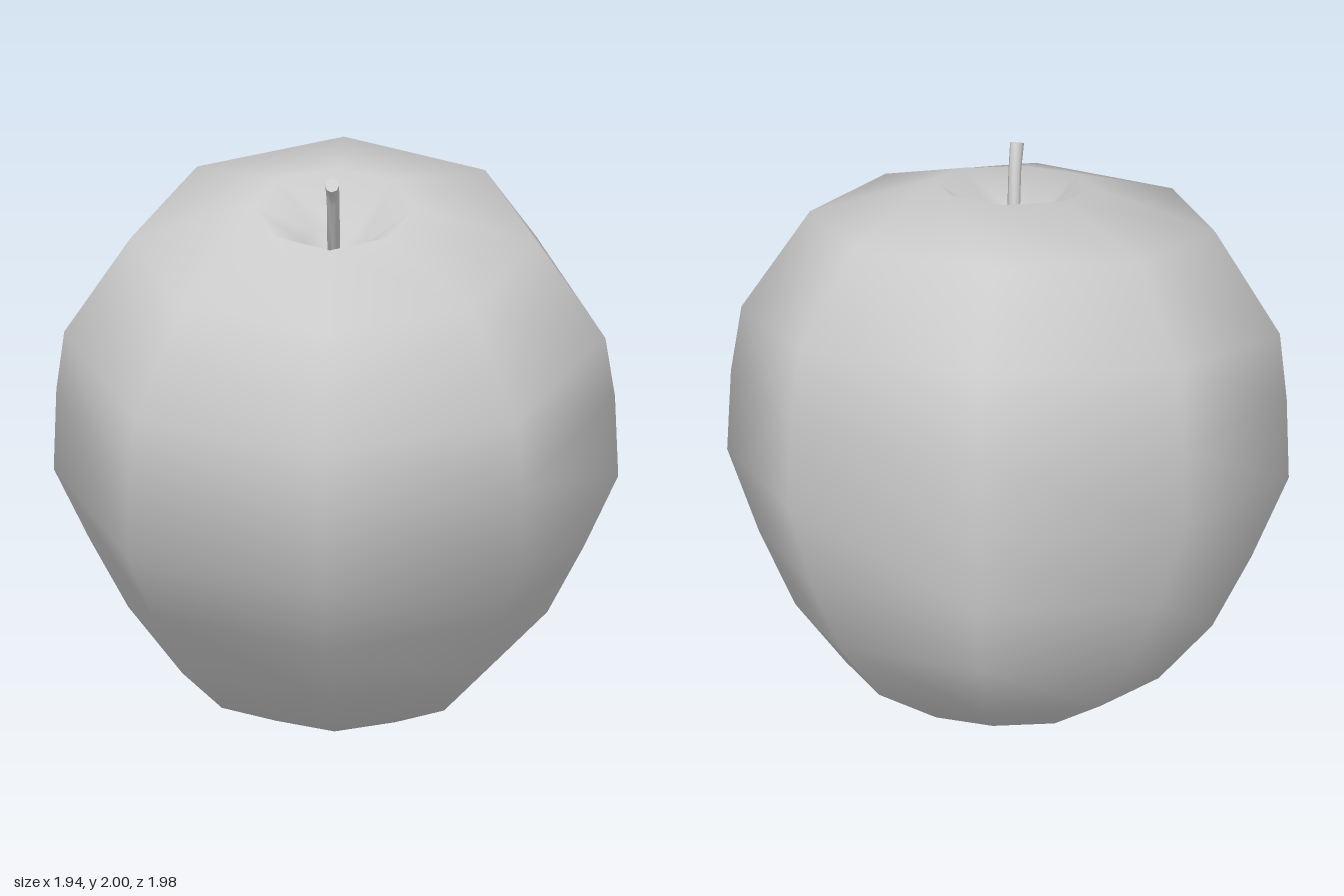
import * as THREE from 'three';
import { toCreasedNormals } from 'three/addons/utils/BufferGeometryUtils.js';

// Closed skin over tilted rings, listed from the top end to the bottom end.
// ring: [front z, front y, back z, back y, half width in x, side y]
function loft(start, rings, end, sides) {
  const pos = [0, start[1], start[0]];
  const index = [];
  for (const [zf, yf, zb, yb, w, ys] of rings) {
    const midY = (yf + yb) / 2;
    for (let j = 0; j < sides; j++) {
      const t = (j / sides) * Math.PI * 2;
      const c = Math.cos(t), s = Math.sin(t);
      pos.push(
        w * s,
        midY + ((yf - yb) / 2) * c + (ys - midY) * s * s,
        (zf + zb) / 2 + ((zf - zb) / 2) * c
      );
    }
  }
  pos.push(0, end[1], end[0]);
  const last = pos.length / 3 - 1;
  const at = (i, j) => 1 + i * sides + (j % sides);
  for (let j = 0; j < sides; j++) {
    index.push(0, at(0, j), at(0, j + 1));
    for (let i = 0; i < rings.length - 1; i++) {
      const a = at(i, j), b = at(i + 1, j), c = at(i + 1, j + 1), d = at(i, j + 1);
      index.push(a, b, c, a, c, d);
    }
    index.push(at(rings.length - 1, j), last, at(rings.length - 1, j + 1));
  }
  const geo = new THREE.BufferGeometry();
  geo.setAttribute('position', new THREE.Float32BufferAttribute(pos, 3));
  geo.setIndex(index);
  geo.computeVertexNormals();
  return geo;
}

export function createModel() {
  const group = new THREE.Group();
  group.name = 'apple';
  const material = new THREE.MeshStandardMaterial({ color: 0xcccccc });

  // Eight-sided fruit leaning forward, from the stem hollow down to the base
  const fruit = new THREE.Mesh(loft([0.12, 1.7], [
    [0.23, 1.71, 0.01, 1.77, 0.1, 1.74],   // hollow
    [0.43, 1.8, -0.14, 1.94, 0.28, 1.88],  // rim of the hollow
    [0.83, 1.61, -0.61, 1.93, 0.7, 1.75],  // shoulder
    [0.99, 1.23, -0.89, 1.68, 0.93, 1.4],
    [0.965, 0.97, -0.98, 1.37, 0.96, 1.18],
    [0.92, 0.71, -0.985, 1.08, 0.97, 0.89],
    [0.75, 0.46, -0.98, 0.79, 0.85, 0.62],
    [0.58, 0.24, -0.9, 0.53, 0.72, 0.37],
    [0.35, 0.08, -0.76, 0.3, 0.54, 0.18],
    [0.08, 0, -0.51, 0.12, 0.29, 0.05],    // base
  ], [-0.21, 0.07], 8), material);
  fruit.name = 'fruit';

  // Bent stem, flaring a little at its cut top
  const stem = new THREE.Mesh(toCreasedNormals(loft([0.247, 1.983], [
    [0.275, 1.965, 0.22, 2, 0.024, 1.983],
    [0.2, 1.9, 0.155, 1.925, 0.022, 1.912],
    [0.145, 1.7, 0.1, 1.7, 0.022, 1.7],
  ], [0.12, 1.69], 8), Math.PI / 3), material);
  stem.name = 'stem';

  group.add(fruit, stem);
  return group;
}
